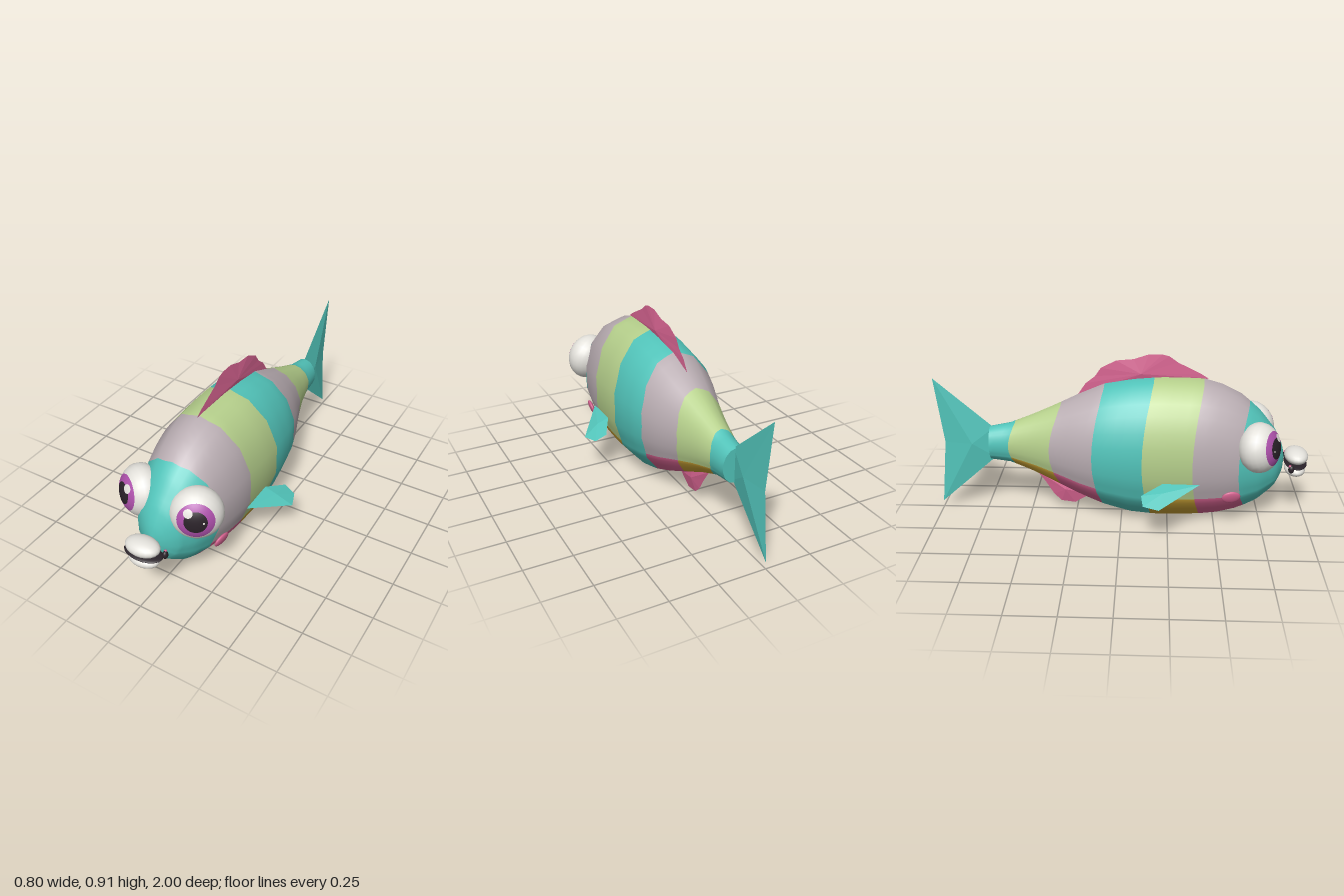
import * as THREE from 'three';

const mat = (name, color) => Object.assign(new THREE.MeshStandardMaterial({ color }), { name });
const V = (x, y, z) => new THREE.Vector3(x, y, z);

// Body sections: z, top y, bottom y, half width
const SECTIONS = [
  [0.87, 0.35, 0.34, 0.005], [0.86, 0.41, 0.255, 0.05], [0.82, 0.5, 0.18, 0.115],
  [0.73, 0.615, 0.1, 0.175], [0.63, 0.705, 0.05, 0.215], [0.52, 0.76, 0.022, 0.24],
  [0.42, 0.788, 0.011, 0.255], [0.2, 0.797, 0.004, 0.263], [0.05, 0.785, 0.02, 0.26],
  [-0.09, 0.755, 0.06, 0.243], [-0.22, 0.695, 0.115, 0.203], [-0.35, 0.63, 0.18, 0.15],
  [-0.47, 0.575, 0.24, 0.11], [-0.6, 0.52, 0.295, 0.08], [-0.71, 0.497, 0.31, 0.07],
];
const SIDES = 14;

function sectionAt(z) {
  let i = 0;
  while (i < SECTIONS.length - 2 && z < SECTIONS[i + 1][0]) i++;
  const a = SECTIONS[i], b = SECTIONS[i + 1];
  const t = THREE.MathUtils.clamp((a[0] - z) / (a[0] - b[0]), 0, 1);
  return a.map((v, j) => v + (b[j] - v) * t);
}

// Point on the fourteen-sided body, k counts sides from the top round by the left
function bodyPoint(k, z) {
  const [, top, bottom, w] = sectionAt(z);
  const corner = (n) => {
    const a = (n / SIDES) * Math.PI * 2;
    return V(w * Math.sin(a), (top + bottom) / 2 + ((top - bottom) / 2) * Math.cos(a), z);
  };
  return corner(Math.floor(k)).lerp(corner(Math.floor(k) + 1), k % 1);
}

// Striped body: grid rows follow the curved stripe edges, columns follow the belly line
function makeBody(back, belly) {
  const edges = [0.87, 0.67, 0.43, 0.17, -0.09, -0.32, -0.57, -0.71];
  const bellyK = 4.8, cols = [];
  for (let k = 0; k < SIDES; k += 0.5) cols.push(k);
  cols.push(bellyK, SIDES - bellyK);
  cols.sort((a, b) => a - b);
  const edge = (i, k) => {
    const bulge = i === 0 || i === 7 ? 0 : i === 6 ? 0.035 : 0.06;
    return edges[i] - bulge * Math.sin((k / SIDES) * Math.PI * 2) ** 2;
  };
  const n = cols.length, pos = [], groups = [];
  let row = 0;
  const addRow = (b, t) => cols.forEach((k) => {
    const e = b === 0 ? 1 - Math.cos((t * Math.PI) / 2) : t;
    pos.push(...bodyPoint(k, THREE.MathUtils.lerp(edge(b, k), edge(b + 1, k), e)).toArray());
  });
  addRow(0, 0);
  for (let b = 0; b < 7; b++) {
    const upper = [], lower = [], steps = b === 0 ? 12 : 5;
    for (let s = 1; s <= steps; s++, row++) {
      addRow(b, s / steps);
      cols.forEach((k, c) => {
        const d = (c + 1) % n, p = row * n, q = p + n;
        const list = k >= bellyK && k < SIDES - bellyK ? lower : upper;
        list.push(p + c, p + d, q + c, p + d, q + d, q + c);
      });
    }
    groups.push([upper, b % 3], [lower, 3 + (b % 3)]);
  }
  const geo = new THREE.BufferGeometry();
  geo.setAttribute('position', new THREE.Float32BufferAttribute(pos, 3));
  const index = [];
  groups.forEach(([list, m]) => {
    geo.addGroup(index.length, list.length, m);
    list.forEach((i) => index.push(i));
  });
  geo.setIndex(index);
  geo.computeVertexNormals();
  return new THREE.Mesh(geo, [...back, ...belly]);
}

// Fin: sharp outline swelling to a thicker centre on both faces
function makeFin(points, centre, normal, material) {
  const pos = [];
  for (const side of [1, -1]) {
    const out = normal.clone().multiplyScalar(side);
    const peak = centre.clone().add(out);
    points.forEach((a, i) => {
      const b = points[(i + 1) % points.length];
      const facing = b.clone().sub(a).cross(peak.clone().sub(a)).dot(out);
      (facing > 0 ? [a, b, peak] : [b, a, peak]).forEach((p) => pos.push(p.x, p.y, p.z));
    });
  }
  const geo = new THREE.BufferGeometry();
  geo.setAttribute('position', new THREE.Float32BufferAttribute(pos, 3));
  geo.computeVertexNormals();
  return new THREE.Mesh(geo, material);
}

export function createModel() {
  const root = new THREE.Group();
  root.name = 'fish';
  const teal = mat('teal', 0x52c4ba), gray = mat('mauveGray', 0xb9adb2), green = mat('paleGreen', 0xb6d08c);
  const pink = mat('pink', 0xd4628f), mustard = mat('mustard', 0xc8a034), white = mat('offWhite', 0xe4e2dc);
  const purple = mat('purple', 0xac50aa), black = mat('nearBlack', 0x2a2229);

  const add = (name, mesh, parent = root) => {
    mesh.name = name;
    parent.add(mesh);
    return mesh;
  };
  const ball = (name, material, p, r) => {
    const m = add(name, new THREE.Mesh(new THREE.SphereGeometry(1, 20, 14), material));
    m.position.set(...p);
    m.scale.set(...r);
    return m;
  };

  // Body and flat tail end
  add('body', makeBody([teal, gray, green], [teal, pink, mustard]));
  const cap = add('tailStump', new THREE.Mesh(new THREE.CircleGeometry(1, SIDES, Math.PI / 2), teal));
  cap.position.set(0, 0.4035, -0.71);
  cap.scale.set(0.07, 0.0935, 1);
  cap.rotation.y = Math.PI;

  // Fins on the centre line, outlines as z, y
  const flatFin = (name, outline, [cz, cy], t, m) =>
    add(name, makeFin(outline.map(([z, y]) => V(0, y, z)), V(0, cy, cz), V(t, 0, 0), m));
  flatFin('dorsalFin', [[0.45, 0.785], [0.41, 0.81], [0.29, 0.87], [0.245, 0.903], [0.21, 0.912],
    [0.14, 0.912], [0.06, 0.885], [-0.03, 0.877], [-0.11, 0.835], [-0.14, 0.79], [-0.19, 0.75],
    [-0.23, 0.69], [-0.1, 0.69], [0.3, 0.74]], [0.1, 0.81], 0.017, pink);
  flatFin('ventralFin', [[-0.17, 0.1], [-0.26, 0.045], [-0.335, 0.055], [-0.375, 0.095], [-0.42, 0.17],
    [-0.47, 0.24], [-0.3, 0.19]], [-0.31, 0.13], 0.016, pink);
  flatFin('tailFin', [[-0.69, 0.49], [-1, 0.765], [-0.96, 0.4], [-1, 0.04], [-0.69, 0.315]],
    [-0.81, 0.4], 0.022, teal);

  for (const s of [1, -1]) {
    const side = s > 0 ? 'left' : 'right';

    // Pectoral fin
    const outline = [[0.25, 0.292, 0.41], [0.4, 0.22, 0.2], [0.37, 0.225, 0.12], [0.31, 0.255, 0.11], [0.25, 0.295, 0.22]];
    add(side + 'PectoralFin', makeFin(outline.map(([x, y, z]) => V(s * x, y, z)),
      V(s * 0.31, 0.262, 0.22), V(s * 0.005, 0.012, 0), teal));

    // Cheek spot
    const cheek = ball(side + 'Cheek', pink, [s * 0.205, 0.2, 0.58], [0.013, 0.038, 0.05]);
    cheek.rotation.set(0, s * -0.15, s * -0.3);

    // Eye: flattened ball split into rings of colour about its gaze
    const eye = add(side + 'Eye', new THREE.Group());
    eye.position.set(s * 0.158, 0.468, 0.715);
    eye.scale.set(0.132, 0.105, 0.132);
    eye.quaternion.setFromUnitVectors(V(0, 1, 0), V(s * 0.5, 0.18, 0.85).normalize());
    const ring = (name, material, from, to, r = 1) => {
      const rad = THREE.MathUtils.degToRad;
      const geo = new THREE.SphereGeometry(r, 28, 10, 0, Math.PI * 2, rad(from), rad(to - from));
      return add(name, new THREE.Mesh(geo, material), eye);
    };
    ring('eyeWhite', white, 43, 180);
    ring('iris', purple, 25, 43);
    ring('pupil', black, 0, 25);
    const glint = (name, offset, size) => {
      const dir = offset.applyQuaternion(eye.quaternion.clone().invert()).divide(eye.scale).normalize();
      ring(name, white, 0, size, 1.012).quaternion.setFromUnitVectors(V(0, 1, 0), dir);
    };
    glint('glint', V(s * 0.013, 0.062, 0.09), 10);
    glint('smallGlint', V(s * 0.085, 0.016, 0.068), 2.5);

    // Mouth corners
    ball(side + 'MouthCorner', black, [s * 0.098, 0.316, 0.9], [0.014, 0.022, 0.016]);
    ball(side + 'MouthCornerTip', pink, [s * 0.096, 0.333, 0.893], [0.008, 0.007, 0.008]);
  }

  // Lips with the dark mouth between them
  ball('upperLip', white, [0, 0.356, 0.937], [0.092, 0.04, 0.063]);
  ball('lowerLip', white, [0, 0.279, 0.935], [0.083, 0.035, 0.056]);
  ball('mouth', black, [0, 0.316, 0.935], [0.105, 0.012, 0.06]);

  return root;
}
